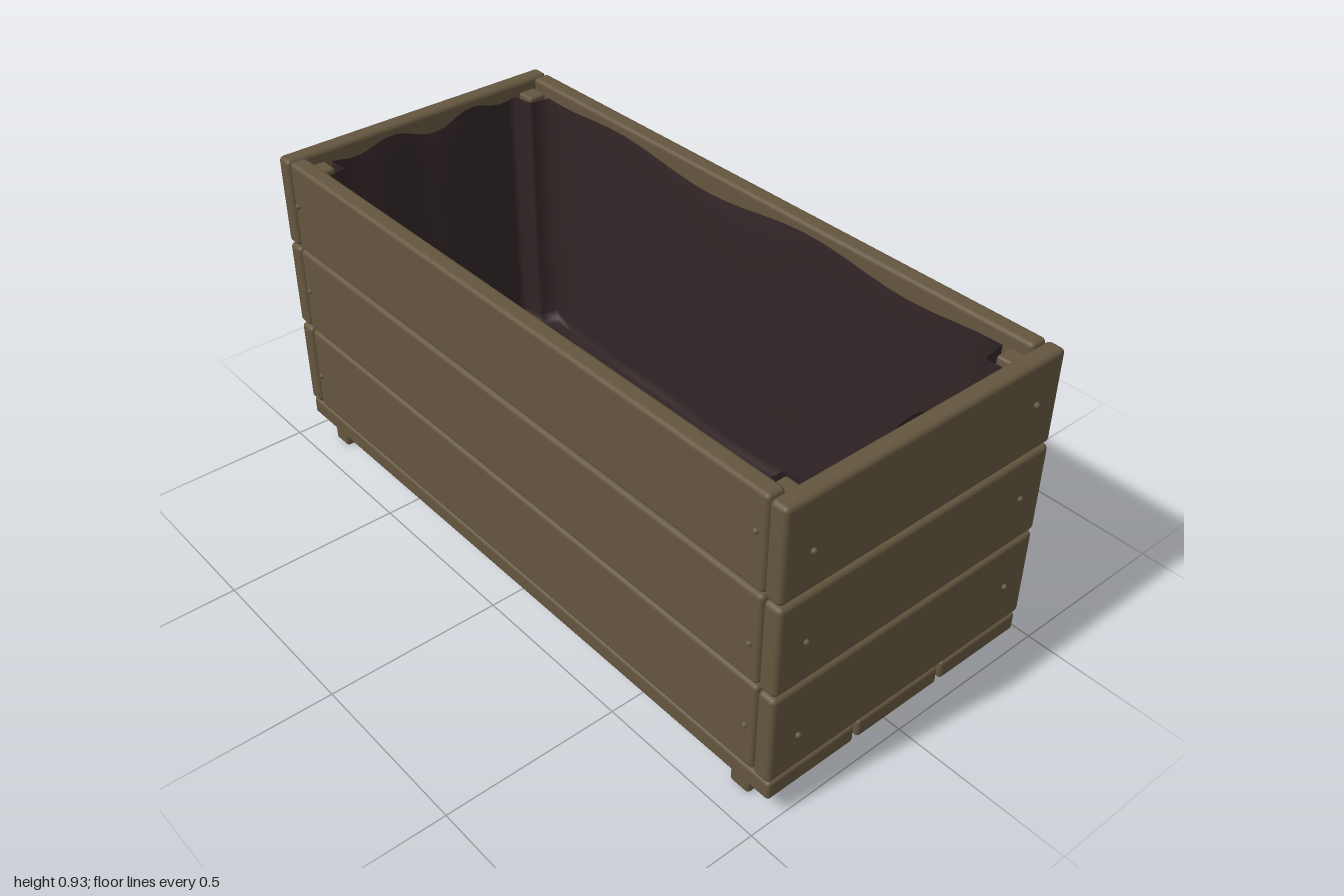
import * as THREE from 'three';
import { RoundedBoxGeometry } from 'three/addons/geometries/RoundedBoxGeometry.js';

export function createModel() {
  const planter = new THREE.Group();
  planter.name = 'planterBox';

  const wood = new THREE.MeshStandardMaterial({ color: 0x64563f });
  wood.name = 'weatheredWood';
  const cloth = new THREE.MeshStandardMaterial({ color: 0x312526, side: THREE.DoubleSide });
  cloth.name = 'darkLiner';

  // Softly worn board given by its limits on each axis
  function board(name, [x0, x1], [y0, y1], [z0, z1], radius = 0.012) {
    const geo = new RoundedBoxGeometry(x1 - x0, y1 - y0, z1 - z0, 3, radius);
    const mesh = new THREE.Mesh(geo, wood);
    mesh.name = name;
    mesh.position.set((x0 + x1) / 2, (y0 + y1) / 2, (z0 + z1) / 2);
    planter.add(mesh);
    return mesh;
  }

  // Nail head: a short domed stud facing along an axis
  const nailGeo = new THREE.SphereGeometry(0.008, 10, 6);
  function nail(x, y, z) {
    const mesh = new THREE.Mesh(nailGeo, wood);
    mesh.name = 'nail';
    mesh.position.set(x, y, z);
    planter.add(mesh);
  }

  // Three courses of wall planks, with nails near the plank ends
  const courses = [[0.12, 0.388], [0.395, 0.658], [0.664, 0.931]];
  courses.forEach(([y0, y1], i) => {
    const nudge = [0, 0.001, -0.001][i];
    for (const s of [-1, 1]) {
      const zs = s > 0 ? [0.391, 0.444 + nudge] : [-0.444 - nudge, -0.391];
      board('longPlank', [-0.934, 0.934], [y0, y1], zs);
      const xs = s > 0 ? [0.937, 0.99 + nudge] : [-0.99 - nudge, -0.937];
      board('endPlank', xs, [y0, y1], [-0.443, 0.446], 0.014);

      nail(s * 0.992, [0.23, 0.521, 0.781][i], 0.36);
      nail(s * 0.992, [0.254, 0.536, 0.812][i], -0.357);
      nail(0.905, [0.25, 0.505, 0.825][i], s * 0.445);
      nail(-0.91, [0.235, 0.53, 0.805][i], s * 0.445);
    }
  });

  // Floor slats and the two runners beneath them
  for (const z of [[-0.435, -0.152], [-0.139, 0.144], [0.157, 0.441]]) {
    board('floorSlat', [-0.988, 0.988], [0.061, 0.116], z, 0.01);
  }
  for (const s of [-1, 1]) {
    board('runner', [s * 0.876 - 0.032, s * 0.876 + 0.032], [0, 0.063], [-0.42, 0.424], 0.01);
  }

  // Inner corner posts
  for (const sx of [-1, 1]) {
    for (const sz of [-1, 1]) {
      const x = sx * 0.906, z = sz * 0.363;
      board('cornerPost', [x - 0.029, x + 0.029], [0.117, 0.9], [z - 0.028, z + 0.028], 0.008);
    }
  }

  // Hanging liner: rings that step round the posts, sag inward and close at the floor
  const rings = [ // height, inward sag, scale, rim wave
    [0.895, 0.008, 1, 0.018], [0.84, 0.02, 1, 0.008], [0.65, 0.03, 1, 0],
    [0.35, 0.035, 0.995, 0], [0.16, 0.035, 0.985, 0], [0.135, 0.035, 0.97, 0],
    [0.13, 0.035, 0.94, 0], [0.128, 0, 0.001, 0],
  ];
  const sides = [[0.855, 0.386], [0.315, 0.928], [0.855, 0.386], [0.315, 0.928]];
  const steps = 24;
  const positions = [], indices = [];
  for (const [y, sag, scale, wave] of rings) {
    sides.forEach(([half, out], k) => {
      const a = k * Math.PI / 2, c = Math.cos(a), s = Math.sin(a);
      const put = (along, away, h) => positions.push(
        (along * c + away * s) * scale, h, (away * c - along * s) * scale);
      for (let i = 0; i <= steps; i++) {
        const u = (i / steps) * 2 - 1;
        const fold = (1 - u * u) * (1 + 0.2 * Math.sin(u * 9 + k));
        const h = y + wave * Math.sin(u * 7 + k * 1.7) * (1 - u ** 4);
        put(half * u, out - sag * fold, h);
      }
      // rounded turn over the inside of the post
      const turn = k % 2 ? [0.318, 0.868] : [0.868, 0.328];
      put(turn[0] - 0.006, turn[1] + 0.006, y);
      put(turn[0], turn[1] - 0.004, y);
    });
  }
  const count = 4 * (steps + 3);
  for (let r = 0; r < rings.length - 1; r++) {
    for (let i = 0; i < count; i++) {
      const j = (i + 1) % count;
      const a = r * count + i, b = r * count + j;
      indices.push(a, a + count, b, b, a + count, b + count);
    }
  }
  const linerGeo = new THREE.BufferGeometry();
  linerGeo.setAttribute('position', new THREE.Float32BufferAttribute(positions, 3));
  linerGeo.setIndex(indices);
  linerGeo.computeVertexNormals();
  const liner = new THREE.Mesh(linerGeo, cloth);
  liner.name = 'liner';
  planter.add(liner);

  return planter;
}
